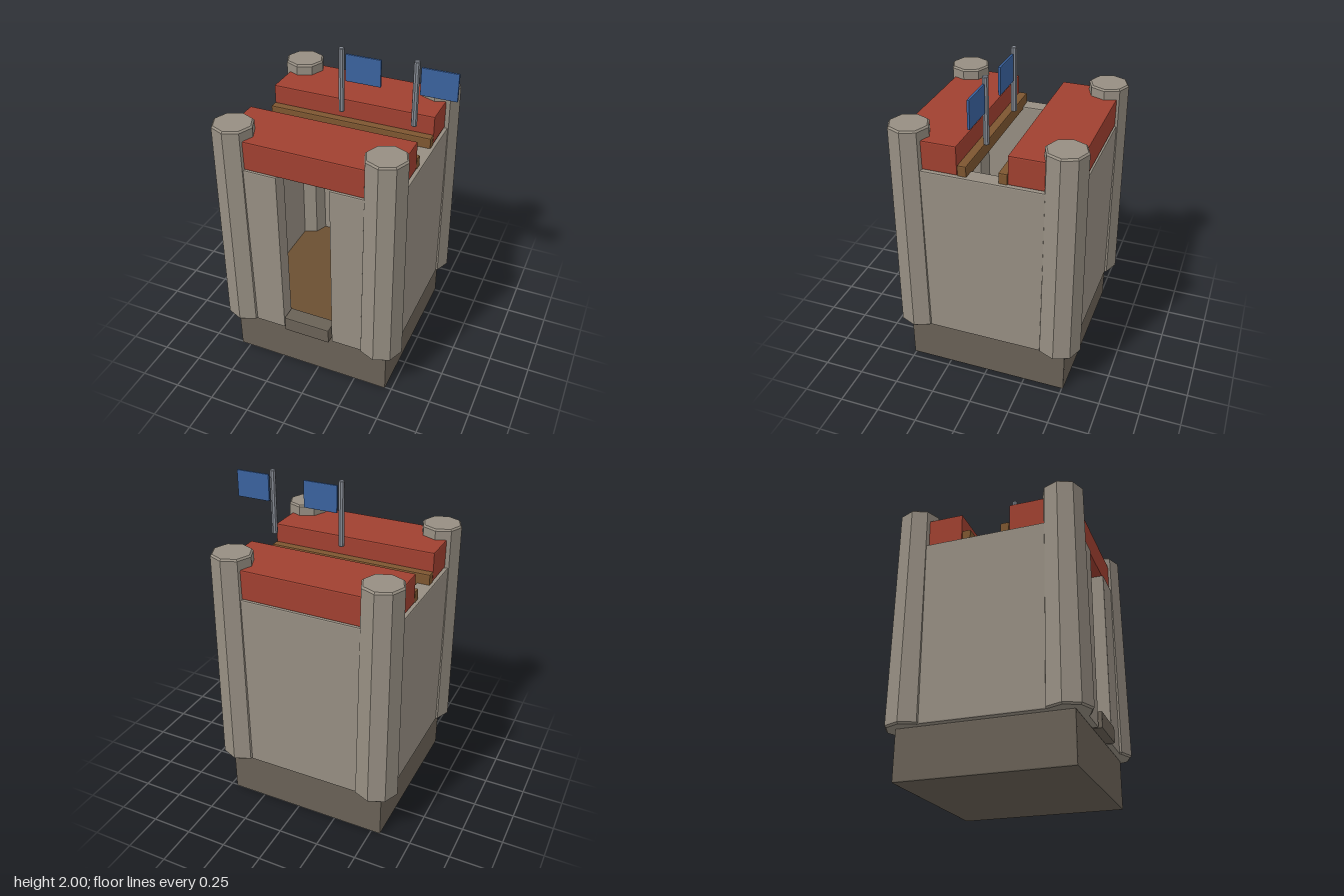
import * as THREE from 'three';
import { RoundedBoxGeometry } from 'three/addons/geometries/RoundedBoxGeometry.js';

const mat = (color) => new THREE.MeshStandardMaterial({ color, flatShading: true });

export function createModel() {
  const model = new THREE.Group();
  model.name = 'gatehouse';
  const stone = mat(0x968e82), darkStone = mat(0x696156), red = mat(0xa04030);
  const wood = mat(0x7d5630), floorWood = mat(0x6b4f32), steel = mat(0x868b94), blue = mat(0x3a629e);

  // Box with a small chamfer, given by its extents
  function box(name, material, [x0, x1], [y0, y1], [z0, z1], bevel = 0.008, parent = model) {
    const g = new RoundedBoxGeometry(x1 - x0, y1 - y0, z1 - z0, 1, bevel);
    const m = new THREE.Mesh(g, material);
    m.name = name;
    m.position.set((x0 + x1) / 2, (y0 + y1) / 2, (z0 + z1) / 2);
    parent.add(m);
    return m;
  }

  // Foundation, floor and doorstep
  box('foundation', darkStone, [-0.56, 0.46], [0, 0.3], [-0.51, 0.51]);
  box('floor', floorWood, [-0.51, 0.41], [0.29, 0.37], [-0.46, 0.46]);
  box('doorstep', darkStone, [-0.2, 0.1], [0.3, 0.4], [0.46, 0.56]);

  // Walls; the front is split by a full-height doorway
  const wallY = [0.3, 1.42];
  box('rightWall', stone, [-0.59, -0.49], wallY, [-0.53, 0.53]);
  box('leftWall', stone, [0.39, 0.49], wallY, [-0.53, 0.53]);
  box('backWall', stone, [-0.58, 0.48], wallY, [-0.54, -0.44]);
  box('frontWallRight', stone, [-0.58, -0.21], wallY, [0.44, 0.54]);
  box('frontWallLeft', stone, [0.11, 0.48], wallY, [0.44, 0.54]);

  // Tapered octagonal corner towers with chamfered ends
  const towerProfile = [[0, 0.3], [0.125, 0.3], [0.135, 0.31], [0.123, 1.655], [0.113, 1.665], [0, 1.665]]
    .map(([r, y]) => new THREE.Vector2(r, y));
  const towerGeo = new THREE.LatheGeometry(towerProfile, 8);
  for (const sx of [-1, 1]) for (const sz of [-1, 1]) {
    const tower = new THREE.Mesh(towerGeo, stone);
    tower.name = (sz > 0 ? 'front' : 'back') + (sx > 0 ? 'Left' : 'Right') + 'Tower';
    tower.position.set(-0.05 + sx * 0.455, 0, sz * 0.457);
    model.add(tower);
  }

  // Roof slabs with a timber beam along the inner edge of each
  for (const s of [-1, 1]) {
    const side = s > 0 ? 'front' : 'back';
    const span = (a, b) => (s > 0 ? [a, b] : [-b, -a]);
    box(side + 'RoofSlab', red, [-0.57, 0.47], [1.42, 1.6], span(0.148, 0.53));
    box(side + 'RoofBeam', wood, [-0.57, 0.47], [1.4, 1.485], span(0.093, 0.148));
  }

  // Flags on slim poles
  const poleProfile = [[0, 1.605], [0.014, 1.605], [0.018, 1.609], [0.018, 1.996], [0.014, 2], [0, 2]]
    .map(([r, y]) => new THREE.Vector2(r, y));
  const poleGeo = new THREE.LatheGeometry(poleProfile, 8);
  for (const [name, x] of [['centreFlag', -0.05], ['leftFlag', 0.393]]) {
    const flag = new THREE.Group();
    flag.name = name;
    flag.position.x = x;
    const pole = new THREE.Mesh(poleGeo, steel);
    pole.name = 'flagPole';
    flag.add(pole);
    box('flagCloth', blue, [0.026, 0.24], [1.803, 1.968], [-0.008, 0.008], 0.005, flag);
    model.add(flag);
  }
  return model;
}
